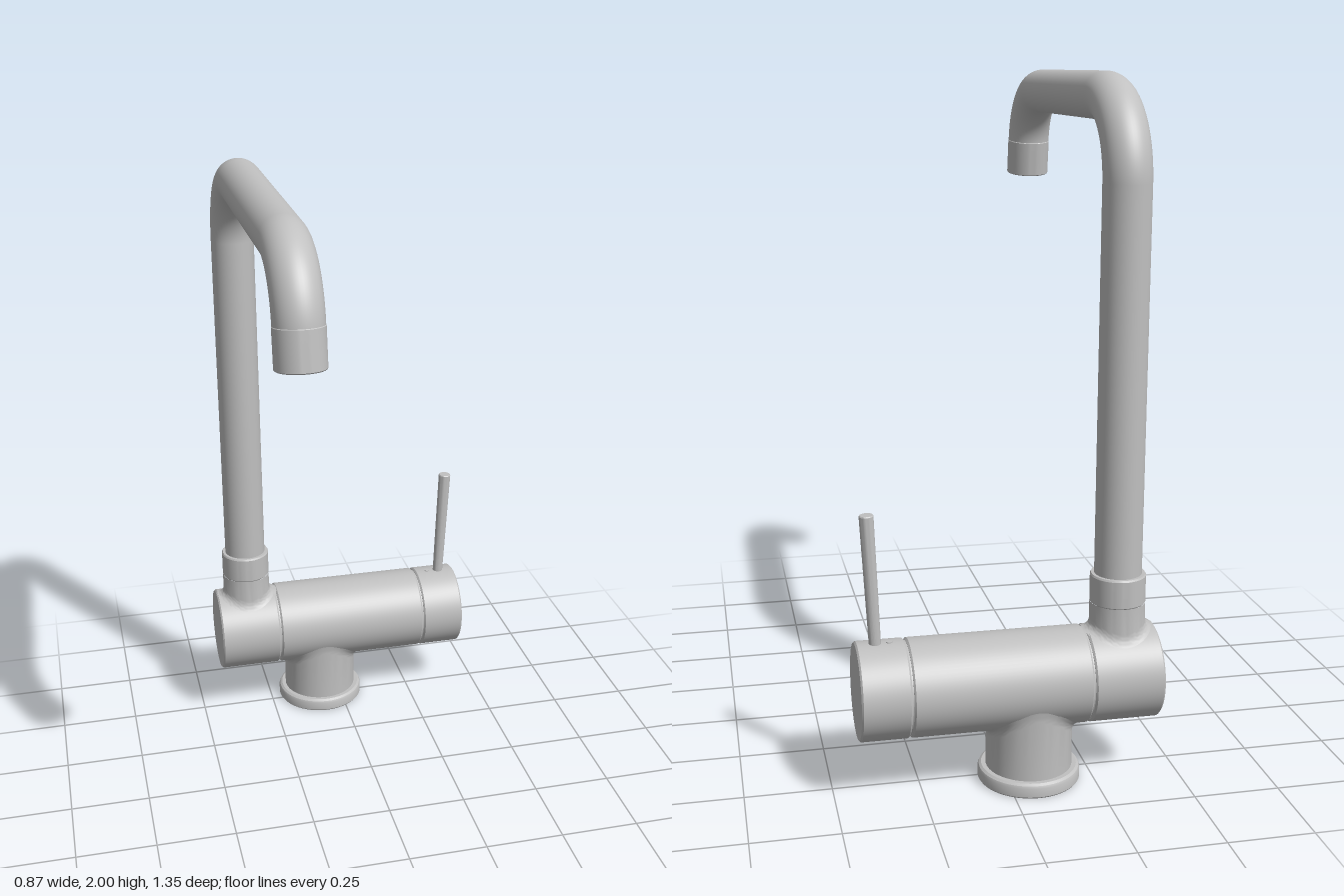
import * as THREE from 'three';
import { toCreasedNormals } from 'three/addons/utils/BufferGeometryUtils.js';

const BODY_Y = 0.305, AXIS_Z = -0.525, BODY_R = 0.14;
const SPOUT_X = -0.328, BASE_X = -0.07, PIPE_R = 0.068, PIPE_TOP = 1.932;

export function createModel() {
  const group = new THREE.Group();
  const metal = new THREE.MeshStandardMaterial({ color: 0xc0c0c0 });
  metal.name = 'brushed metal';

  const add = (name, geometry, x = 0, y = 0, z = AXIS_Z) => {
    const mesh = new THREE.Mesh(geometry, metal);
    mesh.name = name;
    mesh.position.set(x, y, z);
    group.add(mesh);
    return mesh;
  };

  // Turned part; profile is [radius, height] from bottom to top
  const turned = (profile, segments = 64) => toCreasedNormals(
    new THREE.LatheGeometry(profile.map(([r, h]) => new THREE.Vector2(r, h)), segments), 0.5);

  // Blend flaring from an upright tube of radius r onto the horizontal body
  const saddle = (r, fillet, height, sign) => {
    const surface = (z) => Math.sqrt(Math.max(BODY_R ** 2 - z * z, 0));
    const cols = 64, rows = 10, positions = [], index = [];
    for (let j = 0; j <= rows; j++) {
      for (let i = 0; i <= cols; i++) {
        const a = (i / cols) * Math.PI * 2, c = Math.cos(a), s = Math.sin(a);
        const zOut = THREE.MathUtils.clamp((r + fillet) * s, -BODY_R + 0.001, BODY_R - 0.001);
        const yIn = surface(r * s), t = Math.max(0, (j - 1) / (rows - 1));
        const k0 = (1 - t) ** 2, k1 = 2 * t * (1 - t), k2 = t * t;
        const x = (k0 + k1) * r * c + k2 * (r + fillet) * c;
        const z = (k0 + k1) * r * s + k2 * zOut;
        const y = j === 0 ? height : k0 * (yIn + fillet) + k1 * yIn + k2 * (surface(zOut) - 0.001);
        positions.push(x, sign * y, z);
        if (j < rows && i < cols) {
          const p = j * (cols + 1) + i, q = p + cols + 1;
          if (sign > 0) index.push(p, p + 1, q, q, p + 1, q + 1);
          else index.push(p, q, p + 1, q, q + 1, p + 1);
        }
      }
    }
    const geometry = new THREE.BufferGeometry();
    geometry.setAttribute('position', new THREE.Float32BufferAttribute(positions, 3));
    geometry.setIndex(index);
    return toCreasedNormals(geometry, 0.7);
  };

  // Horizontal body in three sections, separated by narrow grooves
  const section = (name, x0, x1) => {
    const b = 0.005;
    const geometry = turned([[0, x0], [BODY_R - b, x0], [BODY_R, x0 + b],
      [BODY_R, x1 - b], [BODY_R - b, x1], [0, x1]], 80);
    add(name, geometry.rotateZ(-Math.PI / 2), 0, BODY_Y);
  };
  section('spoutHousing', -0.435, -0.231);
  section('mainBody', -0.227, 0.285);
  section('handleCap', 0.289, 0.43);
  const core = new THREE.CylinderGeometry(0.133, 0.133, 0.8, 64).rotateZ(Math.PI / 2);
  add('bodyCore', core, 0, BODY_Y);

  // Base flange and stem
  add('baseFlange', turned([[0, 0], [0.145, 0], [0.148, 0.004], [0.148, 0.03],
    [0.145, 0.037], [0.138, 0.042], [0.12, 0.042]]), BASE_X);
  add('baseStem', saddle(0.125, 0.025, BODY_Y - 0.04, -1), BASE_X, BODY_Y);

  // Neck and swivel collar
  add('spoutNeck', saddle(0.08, 0.025, 0.215, 1), SPOUT_X, BODY_Y);
  add('swivelCollar', turned([[0.078, 0.519], [0.08, 0.522], [0.08, 0.6],
    [0.077, 0.605], [0.06, 0.605]]), SPOUT_X);

  // Spout pipe: upright, rear bend, top run, front bend
  const rearR = 0.225, frontR = 0.193, frontZ = 0.4, tilt = THREE.MathUtils.degToRad(8);
  const pipe = (length) => new THREE.CylinderGeometry(PIPE_R, PIPE_R, length, 48, 1, true);
  const bend = (radius, start, arc) => new THREE.TorusGeometry(radius, PIPE_R, 48, 32, arc)
    .rotateZ(start).rotateY(-Math.PI / 2);

  const uprightTop = PIPE_TOP - rearR;
  add('spoutUpright', pipe(uprightTop - 0.55), SPOUT_X, (uprightTop + 0.55) / 2);
  const rearZ = AXIS_Z + rearR;
  add('rearBend', bend(rearR, Math.PI / 2, Math.PI / 2), SPOUT_X, uprightTop, rearZ);
  add('spoutTopRun', pipe(frontZ - rearZ).rotateX(Math.PI / 2),
    SPOUT_X, PIPE_TOP, (frontZ + rearZ) / 2);
  add('frontBend', bend(frontR, tilt, Math.PI / 2 - tilt), SPOUT_X, PIPE_TOP - frontR, frontZ);

  // Outlet nozzle continuing the front bend
  const nozzle = add('outletNozzle', turned([[0, -0.112], [0.066, -0.112], [0.069, -0.109],
    [0.069, -0.002], [0.066, 0.001]], 48), SPOUT_X,
  PIPE_TOP - frontR + frontR * Math.sin(tilt), frontZ + frontR * Math.cos(tilt));
  nozzle.rotation.x = -tilt;

  // Lever handle with a tiny screw beside it
  const lever = add('lever', turned([[0.017, -0.02], [0.0205, 0.378], [0.0185, 0.381], [0, 0.381]], 32),
    0.374, 0.44);
  lever.rotation.z = -0.05;
  add('setScrew', new THREE.CylinderGeometry(0.009, 0.009, 0.008, 20), 0.334, BODY_Y + BODY_R - 0.002);

  return group;
}
